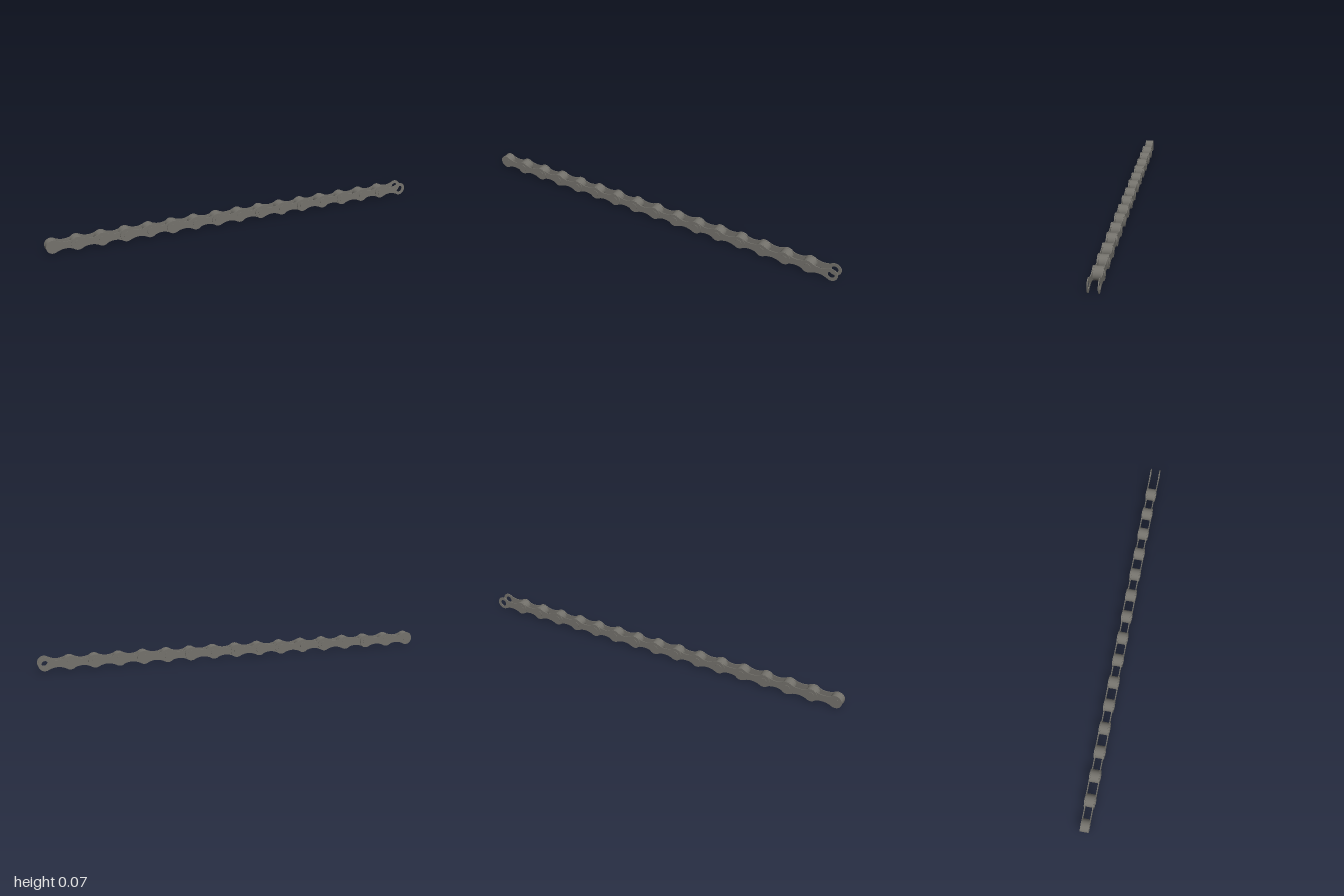
import * as THREE from 'three';

const JOINTS = 17, R = 0.033, PITCH = (2 - 2 * R) / (JOINTS - 1);
const WAIST = 0.017, PIN_R = 0.017, THICK = 0.0038;

// Figure-eight link plate: round ends joined by tangent concave arcs
function plateGeometry() {
  const h = PITCH / 2;
  const r = (h * h + WAIST * WAIST - R * R) / (2 * (R - WAIST));
  const cy = WAIST + r;
  const a = Math.atan2(cy, -h); // tangent direction seen from the right joint
  const b = Math.atan2(-cy, h); // same line seen from the concave centre
  const s = new THREE.Shape();
  s.absarc(h, 0, R, -a, a, false);
  s.absarc(0, cy, r, b, -Math.PI - b, true);
  s.absarc(-h, 0, R, Math.PI - a, Math.PI + a, false);
  s.absarc(0, -cy, r, Math.PI + b, -b, true);
  for (const x of [-h, h]) {
    const hole = new THREE.Path();
    hole.absarc(x, 0, PIN_R, 0, Math.PI * 2, true);
    s.holes.push(hole);
  }
  const g = new THREE.ExtrudeGeometry(s, { depth: THICK, bevelEnabled: false, curveSegments: 20 });
  return g.translate(0, 0, -THICK / 2);
}

export function createModel() {
  const chain = new THREE.Group();
  chain.name = 'rollerChain';
  const steel = new THREE.MeshStandardMaterial({ color: 0x74726c });
  steel.name = 'dark steel';

  const plate = plateGeometry();
  const cylinder = (radius, length) =>
    new THREE.CylinderGeometry(radius, radius, length, 32).rotateX(Math.PI / 2);
  const roller = cylinder(0.032, 0.035);
  const pin = cylinder(PIN_R, 0.056);
  const endPin = cylinder(PIN_R, 0.044);

  const add = (name, geometry, x, z = 0) => {
    const mesh = new THREE.Mesh(geometry, steel);
    mesh.name = name;
    mesh.position.set(x, R, z);
    chain.add(mesh);
  };
  const jointX = (i) => -1 + R + i * PITCH;

  // Rollers and pins; the last joint stays open
  for (let i = 0; i < JOINTS - 1; i++) {
    add('roller', roller, jointX(i));
    add('pin', i === 0 ? endPin : pin, jointX(i));
  }

  // Alternating inner and outer pairs of plates
  for (let i = 0; i < JOINTS - 1; i++) {
    const inner = i % 2 === 0;
    for (const side of [-1, 1]) {
      add(inner ? 'innerPlate' : 'outerPlate', plate, jointX(i + 0.5), side * (inner ? 0.0195 : 0.0238));
    }
  }
  return chain;
}
